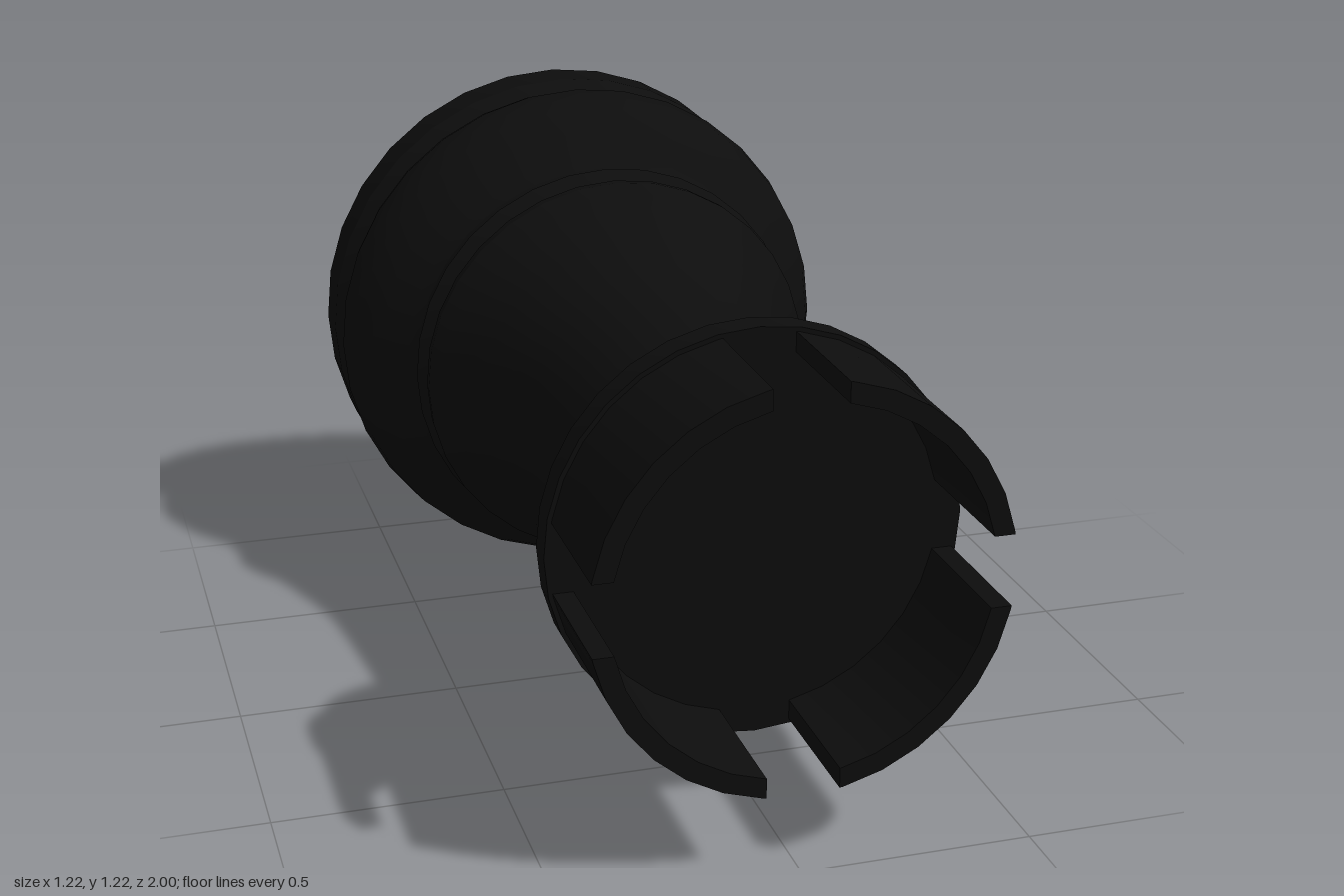
import * as THREE from 'three';
import { toCreasedNormals } from 'three/addons/utils/BufferGeometryUtils.js';

const SIDES = 32, AXIS_Y = 0.615;
const STEP = (Math.PI * 2) / SIDES;
const FLOOR = 0.69, OUTER = 0.438, INNER = 0.395, SLOT = 0.077;

export function createModel() {
  const model = new THREE.Group();
  model.name = 'lyingRook';
  const material = new THREE.MeshStandardMaterial({ color: 0x0d0d0d });

  const add = (name, geometry, parent) => {
    const mesh = new THREE.Mesh(toCreasedNormals(geometry, 0.55), material);
    mesh.name = name;
    parent.add(mesh);
    return mesh;
  };

  // Turned pieces: [radius, z] profiles revolved about the z axis
  const turned = (name, profile) => {
    const points = profile.map(([r, z]) => new THREE.Vector2(r, z));
    const geometry = new THREE.LatheGeometry(points, SIDES);
    geometry.rotateX(Math.PI / 2);
    add(name, geometry, model).position.y = AXIS_Y;
  };

  // Base with its rounded moulding
  turned('base', [
    [0, -1], [0.61, -1], [0.61, -0.885], [0.58, -0.84], [0.6, -0.795],
    [0.612, -0.75], [0.604, -0.7], [0.585, -0.66], [0.54, -0.6],
    [0.485, -0.55], [0.467, -0.525], [0.465, -0.495], [0.48, -0.465],
  ]);

  // Tapering shaft with the lower ring
  turned('shaft', [
    [0.48, -0.465], [0.445, -0.43], [0.468, -0.4], [0.47, -0.37],
    [0.45, -0.335], [0.423, -0.3], [0.382, -0.2], [0.346, -0.1],
    [0.321, 0], [0.302, 0.15], [0.292, 0.26], [0.281, 0.4], [0.325, 0.495],
  ]);

  // Neck bead under the crown
  turned('neckRing', [
    [0.325, 0.495], [0.37, 0.51], [0.407, 0.545], [0.413, 0.56],
    [0.405, 0.595], [0.37, 0.625],
  ]);

  // Crown collar and the floor inside the battlements
  turned('crownCollar', [[0.37, 0.625], [0.448, 0.625], [0.448, FLOOR], [0, FLOOR]]);

  // Four battlement walls separated by parallel-sided slots
  const arc = (radius) => {
    const start = Math.asin(SLOT / radius);
    const angles = [start];
    for (let i = 1; i < SIDES / 4; i++) angles.push(i * STEP);
    angles.push(Math.PI / 2 - start);
    return angles.map((a) => new THREE.Vector2(Math.cos(a) * radius, Math.sin(a) * radius));
  };
  const wall = new THREE.Shape([...arc(OUTER), ...arc(INNER).reverse()]);
  const battlements = new THREE.Group();
  battlements.name = 'battlements';
  battlements.position.set(0, AXIS_Y, FLOOR);
  for (let i = 0; i < 4; i++) {
    const geometry = new THREE.ExtrudeGeometry(wall, { depth: 1 - FLOOR, bevelEnabled: false });
    add('battlement' + (i + 1), geometry, battlements).rotation.z = (i * Math.PI) / 2;
  }
  model.add(battlements);

  return model;
}
